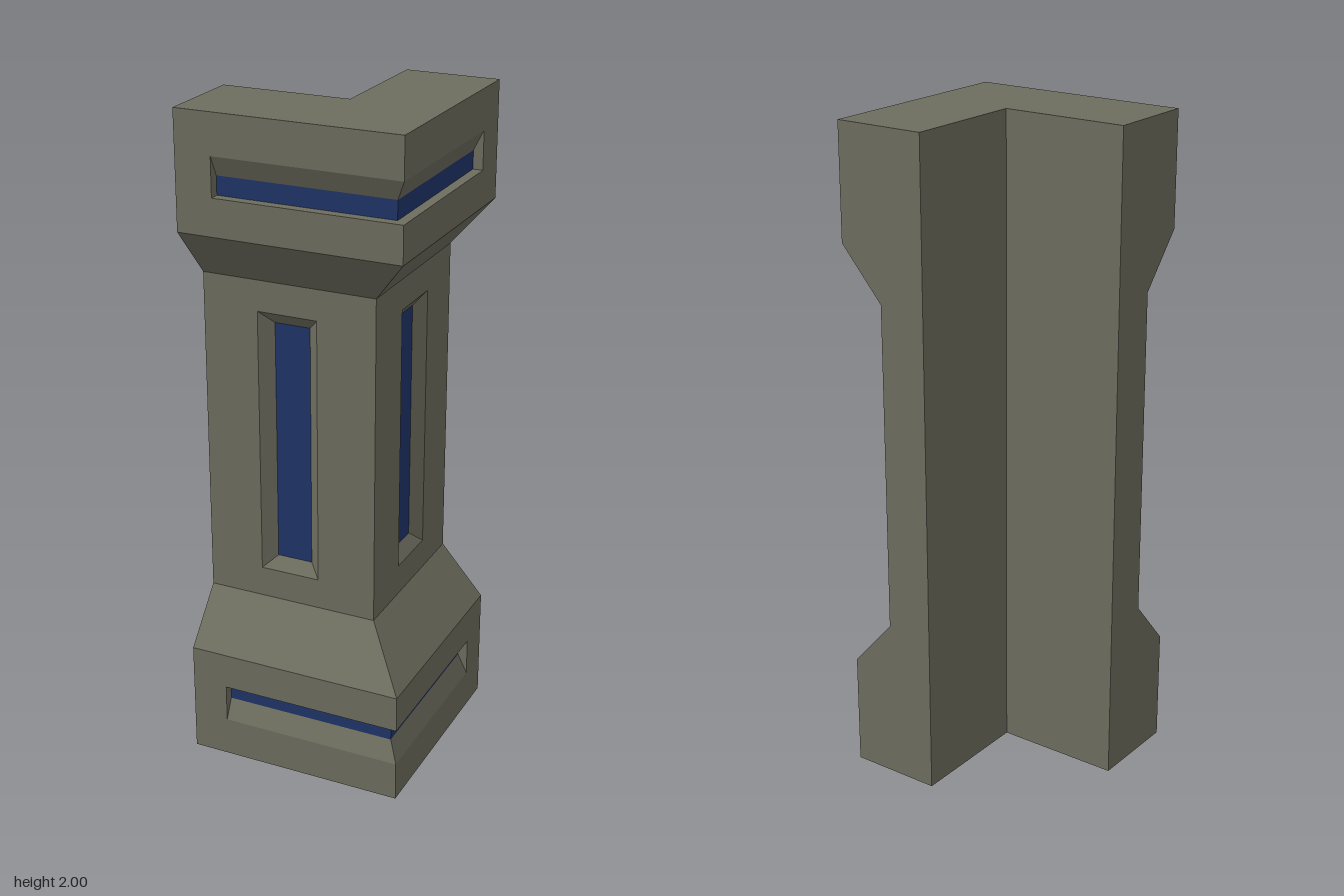
import * as THREE from 'three';

// Main dimensions of the L-shaped corner pillar
const R = 0.335;      // outer reach of the base and head
const S = 0.2;        // outer face of the shaft
const I = 0.052;      // inner walls of the L
const BAND = 0.345, NECK = 0.5, H = 2;
const DEPTH = 0.03;   // depth of all recesses

// Mirror images: each one reverses the winding
const swap = q => q.map(([x, y, z]) => [z, y, x]).reverse();
const flip = q => q.map(([x, y, z]) => [x, H - y, z]).reverse();
const bothArms = quads => [...quads, ...quads.map(swap)];
const bothEnds = quads => [...quads, ...quads.map(flip)];

// Upright rectangle facing +z, corners counter-clockwise
const rect = (x0, x1, y0, y1, z) => [[x0, y0, z], [x1, y0, z], [x1, y1, z], [x0, y1, z]];
// Quad on the arm's end plane, from the inner wall to the outer profile
const endCap = (y0, z0, y1, z1) => [[-R, y0, I], [-R, y0, z0], [-R, y1, z1], [-R, y1, I]];
// Four quads joining two rectangles
const ring = (outer, inner) => outer.map((p, i) => {
  const j = (i + 1) % 4;
  return [p, outer[j], inner[j], inner[i]];
});

function quadMesh(name, quads, material) {
  const pos = quads.flatMap(([a, b, c, d]) => [a, b, c, a, c, d]).flat();
  const geometry = new THREE.BufferGeometry();
  geometry.setAttribute('position', new THREE.Float32BufferAttribute(pos, 3));
  geometry.computeVertexNormals();
  const mesh = new THREE.Mesh(geometry, material);
  mesh.name = name;
  return mesh;
}

export function createModel() {
  const stone = new THREE.MeshStandardMaterial({ color: 0x6c6c5e });
  const blue = new THREE.MeshStandardMaterial({ color: 0x1f3468 });
  const group = new THREE.Group();
  group.name = 'cornerPillar';

  // Base of one arm, with a slot that wraps around the outer corner
  const sx = -0.225, lip = 0.12, sill = 0.18, top = 0.235, r = R - DEPTH;
  const base = [
    rect(-R, R, 0, lip, R),
    rect(-R, sx, lip, top, R),
    rect(-R, R, top, BAND, R),
    [[sx, lip, R], [R, lip, R], [r, sill, r], [sx, sill, r]],     // sloped sill
    [[sx, top, r], [r, top, r], [R, top, R], [sx, top, R]],       // slot ceiling
    [[sx, lip, R], [sx, sill, r], [sx, top, r], [sx, top, R]],    // slot end
    [[-R, BAND, R], [R, BAND, R], [S, NECK, S], [-R, NECK, S]],   // chamfer
    [[-R, 0, I], [I, 0, I], [R, 0, R], [-R, 0, R]],               // underside
    endCap(0, R, BAND, R),
    endCap(BAND, R, NECK, S),
  ];
  const baseStrip = [rect(sx, r, sill, top, r)];

  // Shaft of one arm, with a bevelled upright recess
  const rim = rect(-0.165, 0.02, 0.593, 1.407, S);
  const pane = rect(-0.125, -0.015, 0.63, 1.37, S - DEPTH);
  const shaft = [
    ...ring(rect(-R, S, NECK, H - NECK, S), rim),
    ...ring(rim, pane),
    endCap(NECK, S, H - NECK, S),
  ];

  // Plain inner wall of one arm, over the full height
  const innerWall = [[[I, 0, I], [-R, 0, I], [-R, H, I], [I, H, I]]];

  group.add(
    quadMesh('baseAndHead', bothArms(bothEnds(base)), stone),
    quadMesh('shaft', bothArms(shaft), stone),
    quadMesh('innerWalls', bothArms(innerWall), stone),
    quadMesh('baseStrip', bothArms(baseStrip), blue),
    quadMesh('headStrip', bothArms(baseStrip.map(flip)), blue),
    quadMesh('shaftPanes', bothArms([pane]), blue),
  );
  return group;
}
